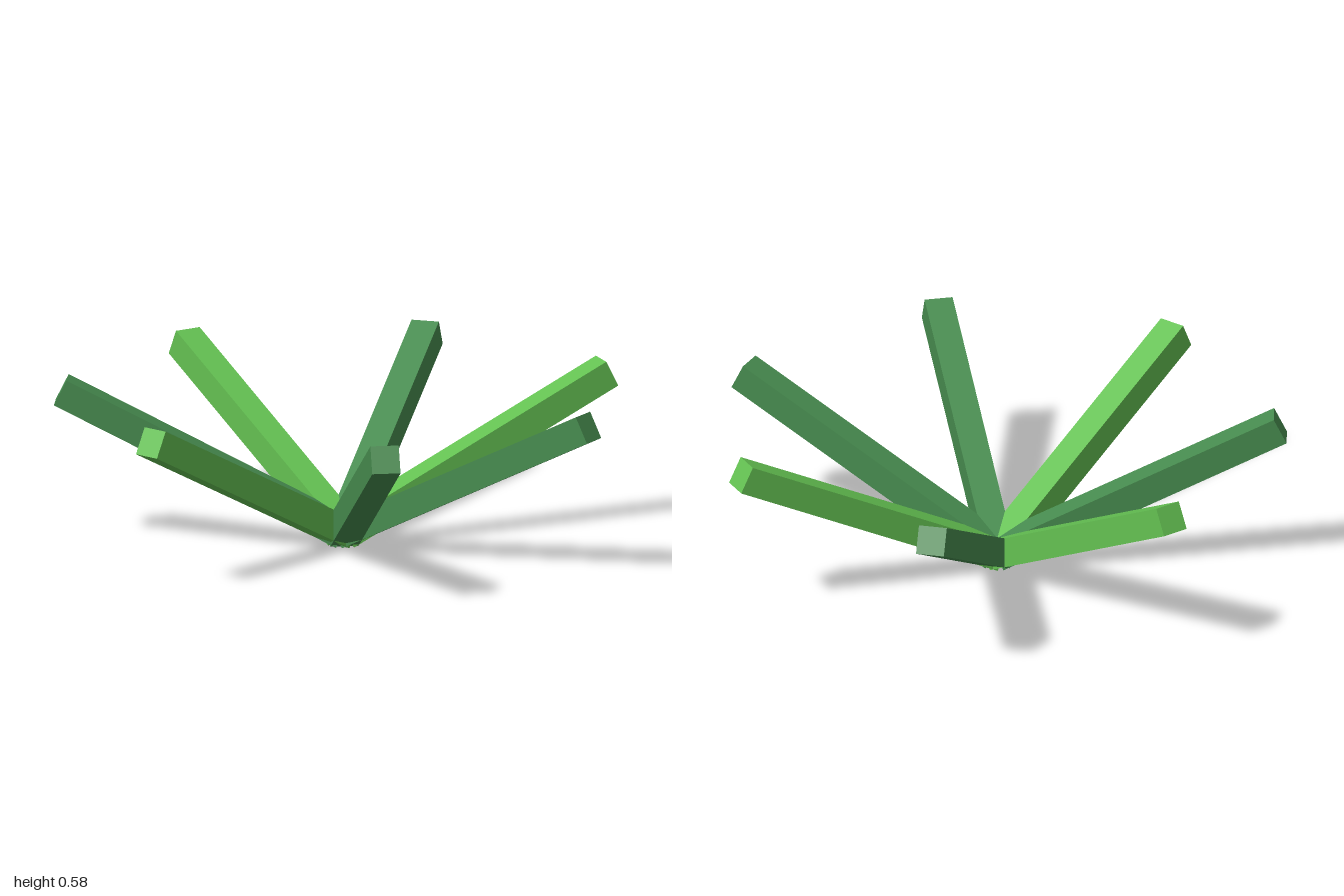
import * as THREE from 'three';

export function createModel() {
  const model = new THREE.Group();
  model.name = 'plant';

  const darkGreen = new THREE.MeshStandardMaterial({ color: 0x478c4f });
  darkGreen.name = 'dark green';
  const lightGreen = new THREE.MeshStandardMaterial({ color: 0x64c152 });
  lightGreen.name = 'light green';

  const count = 7;
  const length = 1.105;
  const thickness = 0.1;
  const tilt = Math.atan(0.5);

  // Square leaf that starts at the origin and rises outward along +x
  const leafGeometry = new THREE.BoxGeometry(length, thickness, thickness);
  leafGeometry.translate(length / 2, 0, 0);
  leafGeometry.rotateZ(tilt);

  // Ring of leaves fanning out from one point, in alternating greens
  for (let i = 0; i < count; i++) {
    const leaf = new THREE.Mesh(leafGeometry, i % 2 ? lightGreen : darkGreen);
    leaf.name = `leaf${i + 1}`;
    leaf.rotation.y = (i / count) * Math.PI * 2;
    leaf.position.set(-0.039, (thickness / 2) * Math.cos(tilt), 0);
    model.add(leaf);
  }

  return model;
}
